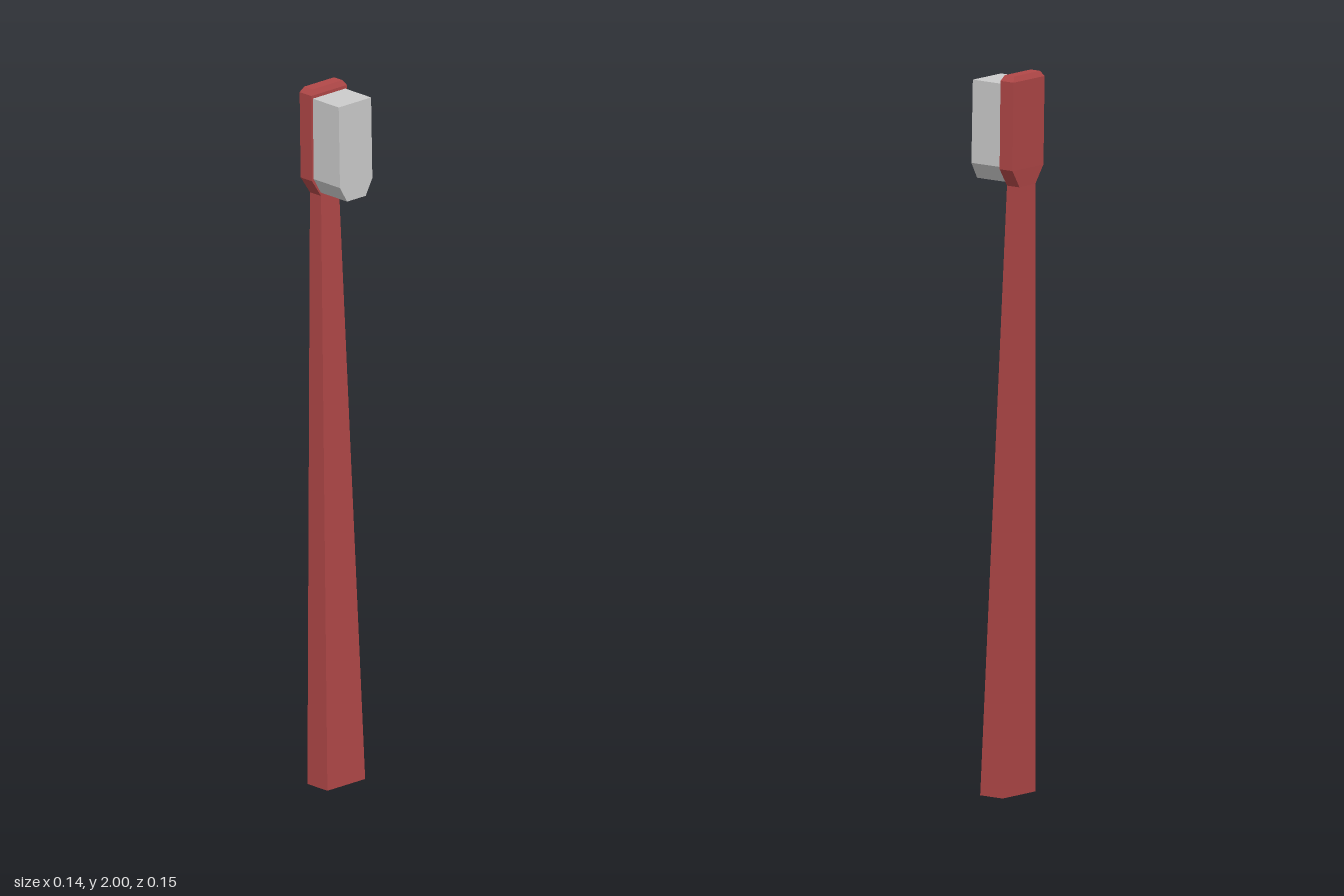
import * as THREE from 'three';

// Lofts rectangular sections [y, halfWidth, zBack, zFront] from bottom to top, with capped ends
function loft(sections) {
  const rings = sections.map(([y, w, back, front]) => [
    [-w, y, front], [w, y, front], [w, y, back], [-w, y, back],
  ]);
  const pos = [];
  const quad = (a, b, c, d) => pos.push(...a, ...b, ...c, ...a, ...c, ...d);
  for (let i = 0; i < rings.length - 1; i++) {
    const lo = rings[i], hi = rings[i + 1];
    for (let k = 0; k < 4; k++) {
      const n = (k + 1) % 4;
      quad(lo[k], lo[n], hi[n], hi[k]);
    }
  }
  const first = rings[0], last = rings[rings.length - 1];
  quad(first[3], first[2], first[1], first[0]);
  quad(last[0], last[1], last[2], last[3]);
  const geometry = new THREE.BufferGeometry();
  geometry.setAttribute('position', new THREE.Float32BufferAttribute(pos, 3));
  geometry.computeVertexNormals();
  return geometry;
}

export function createModel() {
  const red = new THREE.MeshStandardMaterial({ color: 0xb24848 });
  red.name = 'red plastic';
  const grey = new THREE.MeshStandardMaterial({ color: 0xcccccc });
  grey.name = 'light grey bristle';

  const group = new THREE.Group();
  group.name = 'toothbrush';

  // Tapered, backward-leaning handle that flares into the bevelled head
  const handle = new THREE.Mesh(loft([
    [0, 0.071, -0.042, 0.037],
    [1.69, 0.034, -0.071, -0.027],
    [1.74, 0.067, -0.073, -0.028],
    [1.985, 0.067, -0.077, -0.031],
    [2, 0.056, -0.07, -0.037],
  ]), red);
  handle.name = 'handleAndHead';

  // Solid bristle block, narrowed at its lower end
  const bristles = new THREE.Mesh(loft([
    [1.70, 0.035, -0.035, 0.077],
    [1.745, 0.061, -0.035, 0.076],
    [1.976, 0.061, -0.038, 0.071],
  ]), grey);
  bristles.name = 'bristles';

  group.add(handle, bristles);
  return group;
}
